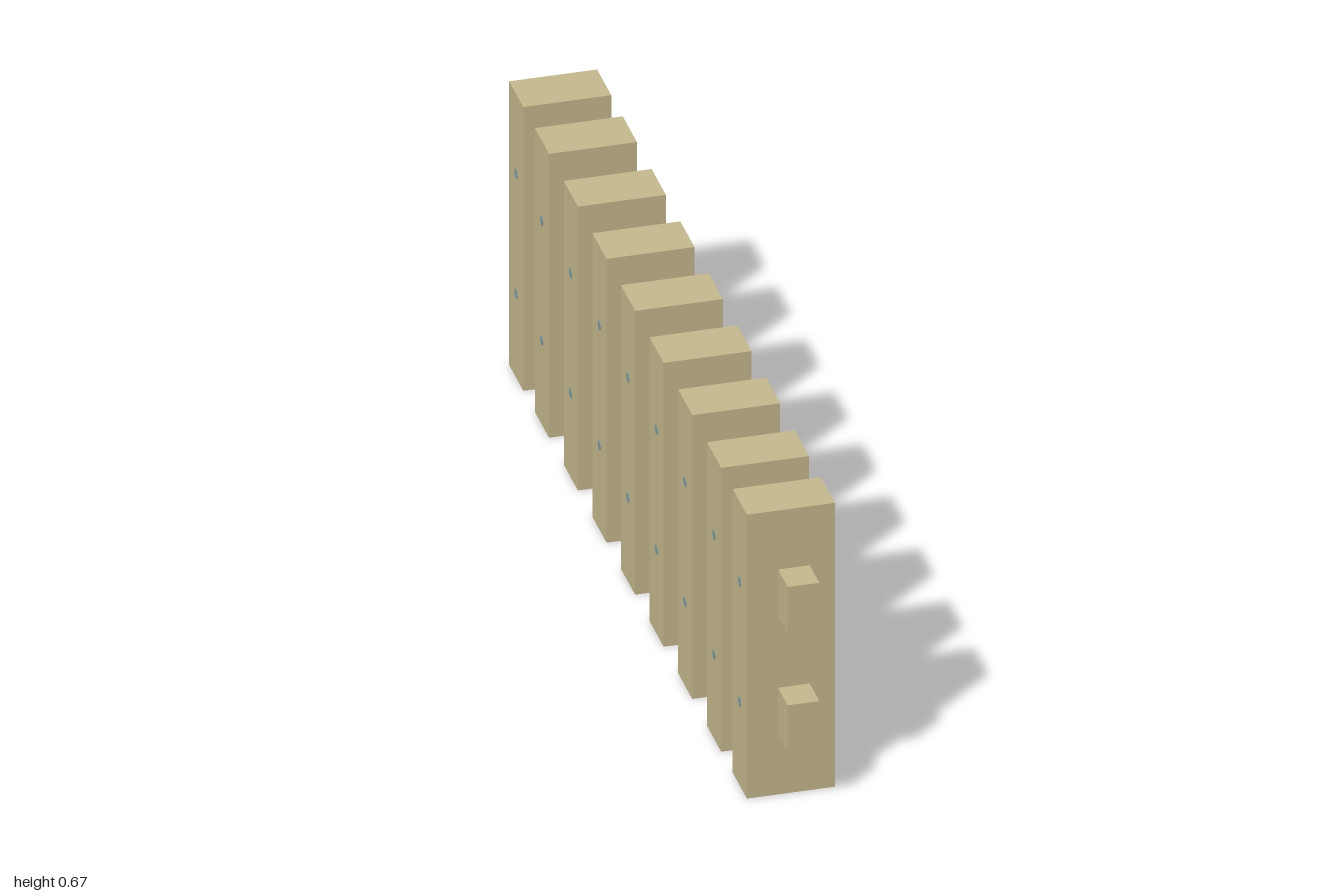
import * as THREE from 'three';

const wood = new THREE.MeshStandardMaterial({ color: 0xc8ba8f });
wood.name = 'paleWood';
const steel = new THREE.MeshStandardMaterial({ color: 0x7c9fa6 });
steel.name = 'blueSteel';

const POST = { width: 0.186, height: 0.667, depth: 0.11 };
const RAIL = { width: 0.067, height: 0.111, x: 0.0065, heights: [0.195, 0.473] };
const NAIL_HEIGHTS = [0.198, 0.48];

function add(parent, name, geometry, material, x, y, z) {
  const mesh = new THREE.Mesh(geometry, material);
  mesh.name = name;
  mesh.position.set(x, y, z);
  parent.add(mesh);
  return mesh;
}

export function createModel() {
  const fence = new THREE.Group();
  fence.name = 'fence';

  // Two long rails running through every post
  const railGeometry = new THREE.BoxGeometry(RAIL.width, RAIL.height, 2);
  RAIL.heights.forEach((y, i) =>
    add(fence, i ? 'upperRail' : 'lowerRail', railGeometry, wood, RAIL.x, y, 0));

  // Upright posts, each with nail heads on both broad sides
  const postGeometry = new THREE.BoxGeometry(POST.width, POST.height, POST.depth);
  const nailGeometry = new THREE.CylinderGeometry(0.011, 0.011, 0.004, 8).rotateZ(Math.PI / 2);
  for (const z of [-0.87, -0.67, -0.445, -0.222, 0, 0.222, 0.445, 0.67, 0.87]) {
    const post = new THREE.Group();
    post.name = 'postWithNails';
    post.position.z = z;
    add(post, 'post', postGeometry, wood, 0, POST.height / 2, 0);
    for (const y of NAIL_HEIGHTS) {
      for (const side of [-1, 1]) {
        add(post, 'nailHead', nailGeometry, steel, side * (POST.width / 2 - 0.001), y, 0);
      }
    }
    fence.add(post);
  }
  return fence;
}
